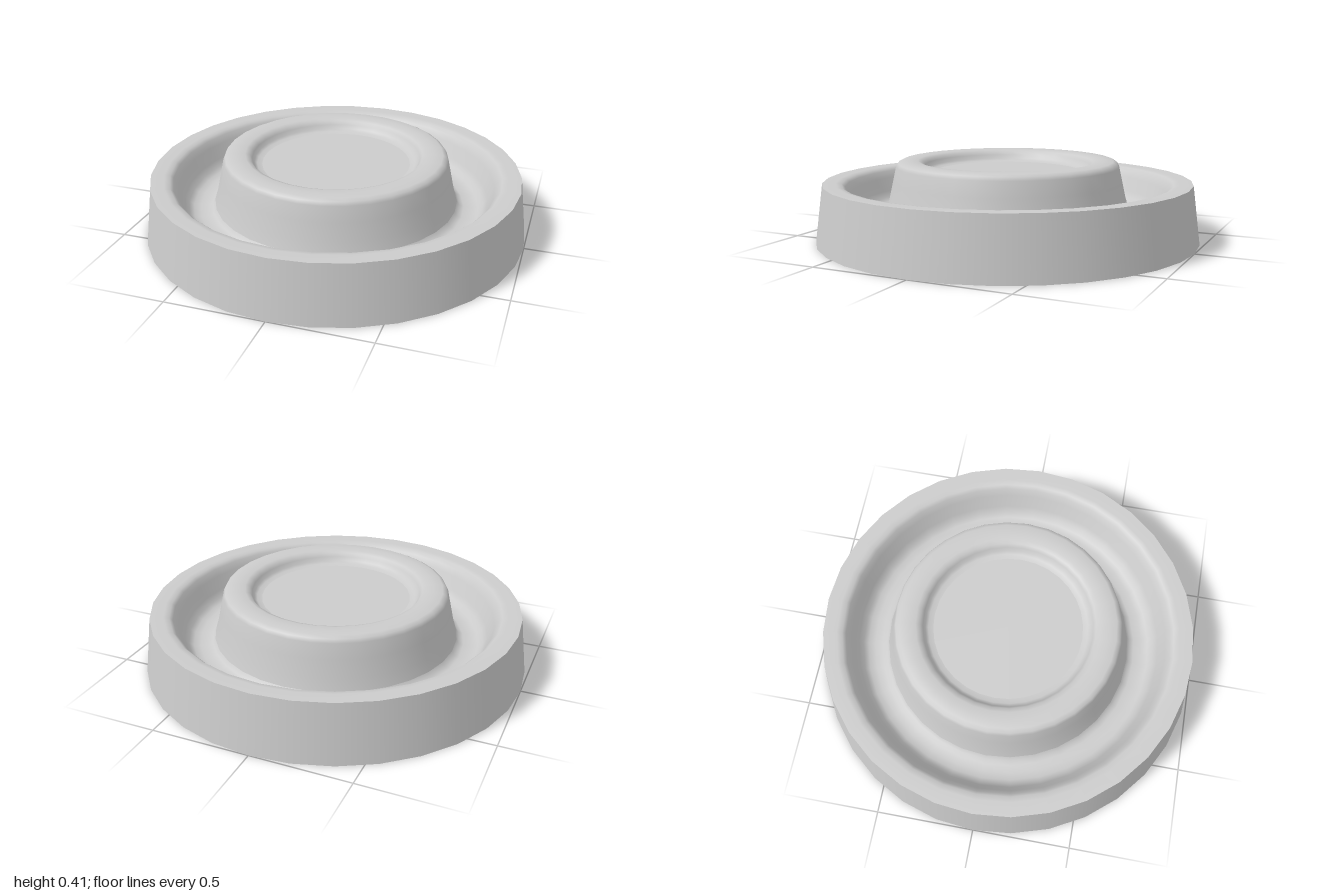
import * as THREE from 'three';

const SEGMENTS = 32;

export function createModel() {
  const group = new THREE.Group();
  const material = new THREE.MeshStandardMaterial({ color: 0xcccccc, side: THREE.DoubleSide });

  // Revolve a profile of [radius, height] pairs around the y axis
  const addLathe = (name, profile) => {
    const points = profile.map(([r, y]) => new THREE.Vector2(r, y));
    const mesh = new THREE.Mesh(new THREE.LatheGeometry(points, SEGMENTS), material);
    mesh.name = name;
    group.add(mesh);
  };

  // Tapered outer wall, open underneath
  addLathe('outerWall', [[1, 0], [0.96, 0.3]]);

  // Flat rim rolling down into the round-bottomed channel
  addLathe('rimAndChannel', [
    [0.96, 0.3], [0.89, 0.3], [0.862, 0.295], [0.845, 0.28], [0.825, 0.245],
    [0.795, 0.175], [0.775, 0.143], [0.75, 0.125], [0.715, 0.12],
    [0.675, 0.122], [0.652, 0.13], [0.638, 0.15],
  ]);

  // Raised ring with rounded shoulders
  addLathe('raisedRing', [
    [0.638, 0.15], [0.62, 0.21], [0.6, 0.3], [0.583, 0.378], [0.573, 0.396],
    [0.553, 0.406], [0.51, 0.408], [0.47, 0.406], [0.448, 0.398],
    [0.435, 0.38], [0.425, 0.36], [0.41, 0.35], [0.385, 0.345],
  ]);

  // Sunken flat centre
  addLathe('centreDisc', [[0.385, 0.345], [0, 0.345]]);

  return group;
}
